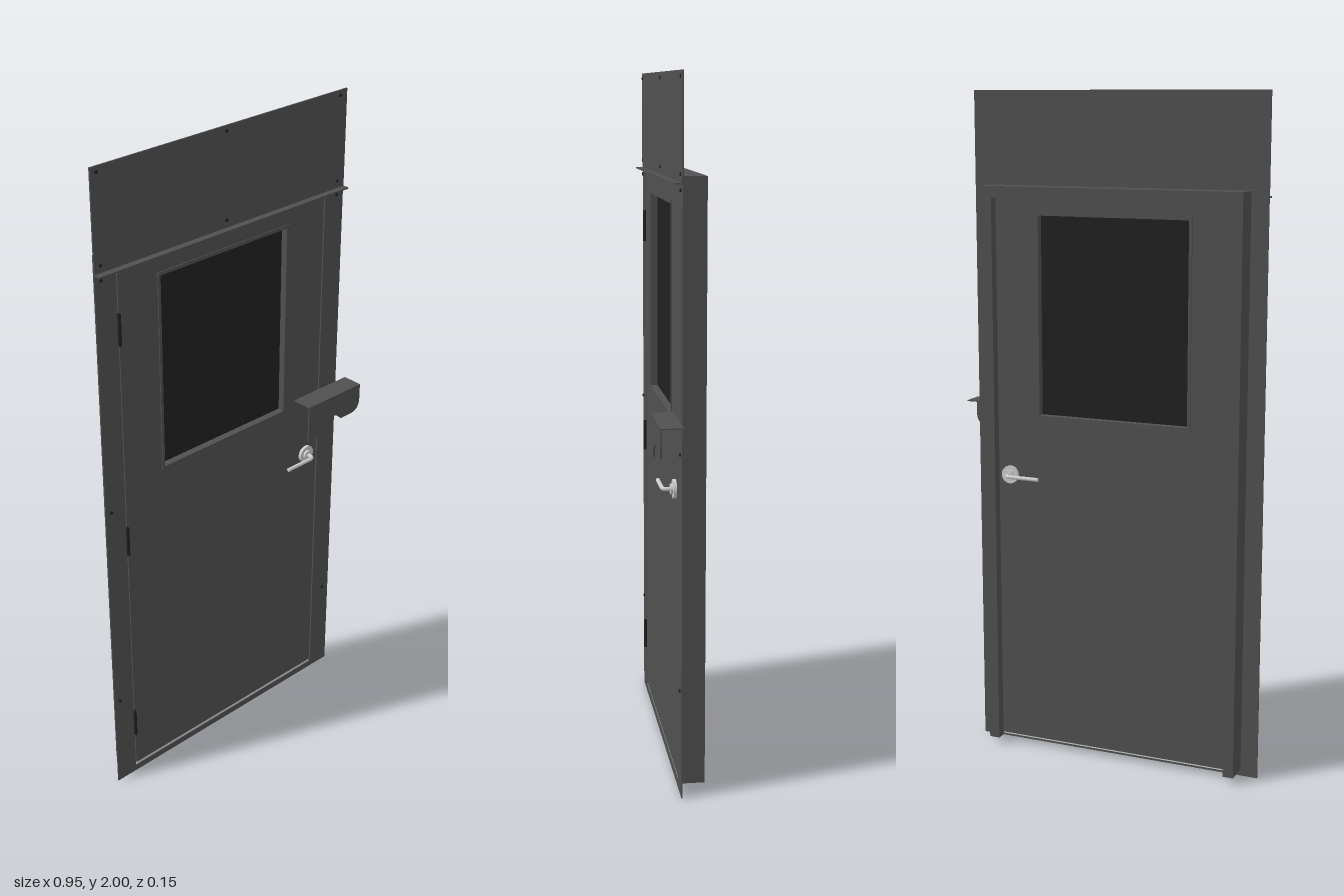
import * as THREE from 'three';

const steel = new THREE.MeshStandardMaterial({ color: 0x505050, side: THREE.DoubleSide });
const black = new THREE.MeshStandardMaterial({ color: 0x202020 });
const grey = new THREE.MeshStandardMaterial({ color: 0xcccccc });

// Main depths and door outline
const FACE = 0.012, DOOR_BACK = -0.033, FRAME_BACK = -0.062;
const DOOR = [-0.401, 0.356, 0.03, 1.705];
const GLASS = [-0.258, 0.208, 1.055, 1.645];

function add(parent, name, geometry, material = steel) {
  const mesh = new THREE.Mesh(geometry, material);
  mesh.name = name;
  parent.add(mesh);
  return mesh;
}

// Box given by its limits
function box(parent, name, x0, x1, y0, y1, z0, z1, material) {
  const g = new THREE.BoxGeometry(x1 - x0, y1 - y0, z1 - z0);
  g.translate((x0 + x1) / 2, (y0 + y1) / 2, (z0 + z1) / 2);
  return add(parent, name, g, material);
}

function rect(Type, [x0, x1, y0, y1]) {
  const p = new Type();
  p.moveTo(x0, y0);
  p.lineTo(x1, y0);
  p.lineTo(x1, y1);
  p.lineTo(x0, y1);
  p.closePath();
  return p;
}

// Rectangular panel with a rectangular opening
function holedPanel(parent, name, outer, inner, z0, z1) {
  const shape = rect(THREE.Shape, outer);
  shape.holes.push(rect(THREE.Path, inner));
  const g = new THREE.ExtrudeGeometry(shape, { depth: z1 - z0, bevelEnabled: false });
  g.translate(0, 0, z0);
  return add(parent, name, g);
}

// Disc or pin facing along z
function disc(parent, name, x, y, z0, z1, r, material, sides = 24) {
  const g = new THREE.CylinderGeometry(r, r, z1 - z0, sides);
  g.rotateX(Math.PI / 2);
  g.translate(x, y, (z0 + z1) / 2);
  return add(parent, name, g, material);
}

// Rose, lever and key cylinder on one side of the door (s = 1 front, -1 back)
function handle(parent, name, s) {
  const g = new THREE.Group();
  g.name = name;
  const x = 0.307, y = 0.866;
  const base = s > 0 ? FACE : DOOR_BACK;
  const z = s > 0 ? 0.049 : -0.0695;
  const span = (n, a, b, r) => disc(g, n, x, y, Math.min(a, b), Math.max(a, b), r, grey);
  span('rose', base, base + s * 0.009, 0.027);
  span('collar', base + s * 0.009, base + s * 0.016, 0.015);
  const path = new THREE.CurvePath();
  const v = (a, b) => new THREE.Vector3(a, y, b);
  path.add(new THREE.LineCurve3(v(x, base), v(x, z - s * 0.014)));
  path.add(new THREE.QuadraticBezierCurve3(v(x, z - s * 0.014), v(x, z), v(x - 0.014, z)));
  path.add(new THREE.LineCurve3(v(x - 0.014, z), v(0.201, z)));
  add(g, 'lever', new THREE.TubeGeometry(path, 40, 0.006, 12), grey);
  const cap = new THREE.CylinderGeometry(0.006, 0.006, 0.002, 12);
  cap.rotateZ(Math.PI / 2);
  cap.translate(0.201, y, z);
  add(g, 'leverEnd', cap, grey);
  parent.add(g);
}

export function createModel() {
  const model = new THREE.Group();
  model.name = 'door';

  // Front surround sheet and transom panel
  holedPanel(model, 'surround', [-0.475, 0.432, 0, 1.71], [-0.405, 0.36, 0.02, 1.709], 0.009, FACE);
  box(model, 'transomPanel', -0.475, 0.432, 1.71, 2, 0.009, 0.0135);

  // Drip edge above the door
  box(model, 'dripEdge', -0.475, 0.432, 1.709, 1.713, FACE, 0.033);

  // Frame: jambs and head with a stop behind the leaf
  const frame = new THREE.Group();
  frame.name = 'frame';
  model.add(frame);
  for (const [name, outer, s] of [['rightJamb', -0.423, 1], ['leftJamb', 0.378, -1]]) {
    const part = (n, w, z0, z1) =>
      box(frame, n, Math.min(outer, outer + s * w), Math.max(outer, outer + s * w), 0.02, 1.728, z0, z1);
    part(name, 0.018, DOOR_BACK, 0.009);
    part(name + 'Stop', 0.032, FRAME_BACK, DOOR_BACK);
  }
  box(frame, 'head', -0.405, 0.36, 1.709, 1.728, DOOR_BACK, 0.009);
  box(frame, 'headStop', -0.391, 0.346, 1.694, 1.728, FRAME_BACK, DOOR_BACK);

  // Door leaf with its window
  const leaf = new THREE.Group();
  leaf.name = 'leaf';
  model.add(leaf);
  holedPanel(leaf, 'doorPanel', DOOR, GLASS, DOOR_BACK, FACE - 0.001);
  const [gx0, gx1, gy0, gy1] = GLASS;
  const trim = [gx0 - 0.009, gx1 + 0.009, gy0 - 0.01, gy1 + 0.01];
  holedPanel(leaf, 'windowTrimFront', trim, GLASS, FACE - 0.001, FACE + 0.002);
  holedPanel(leaf, 'windowTrimBack', trim, GLASS, DOOR_BACK - 0.004, DOOR_BACK);
  box(leaf, 'glass', gx0, gx1, gy0, gy1, -0.015, -0.007, black);
  box(leaf, 'bottomSeal', -0.396, 0.351, 0.02, 0.03, -0.02, 0.008, grey);

  // Hinges
  for (const y of [0.195, 0.865, 1.535]) {
    const g = new THREE.CylinderGeometry(0.005, 0.005, 0.095, 12);
    g.translate(-0.403, y, 0.0155);
    add(model, 'hinge', g, black);
  }

  // Fixing screws
  for (const x of [-0.456, 0.404]) {
    for (const y of [0.31, 0.985, 1.693, 1.735, 1.985])
      disc(model, 'screw', x, y, FACE, 0.016, 0.005, black, 10);
  }
  for (const y of [1.735, 1.985]) disc(model, 'screw', -0.022, y, FACE, 0.016, 0.005, black, 10);

  // Lever handles
  handle(model, 'frontHandle', 1);
  handle(model, 'backHandle', -1);

  // Lock hood: shaped front plate with a flat top reaching back to the door
  const hood = new THREE.Group();
  hood.name = 'lockHood';
  model.add(hood);
  const s = new THREE.Shape();
  s.moveTo(0.256, 1.073);
  s.lineTo(0.256, 0.957);
  s.lineTo(0.303, 0.957);
  s.bezierCurveTo(0.315, 0.99, 0.36, 1.03, 0.395, 0.984);
  s.lineTo(0.435, 0.984);
  s.quadraticCurveTo(0.475, 0.984, 0.475, 1.025);
  s.lineTo(0.475, 1.073);
  s.closePath();
  const plate = new THREE.ExtrudeGeometry(s, { depth: 0.004, bevelEnabled: false, curveSegments: 10 });
  plate.translate(0, 0, 0.0715);
  add(hood, 'hoodFront', plate);
  box(hood, 'hoodTop', 0.256, 0.475, 1.07, 1.073, FACE, 0.0715);

  return model;
}
